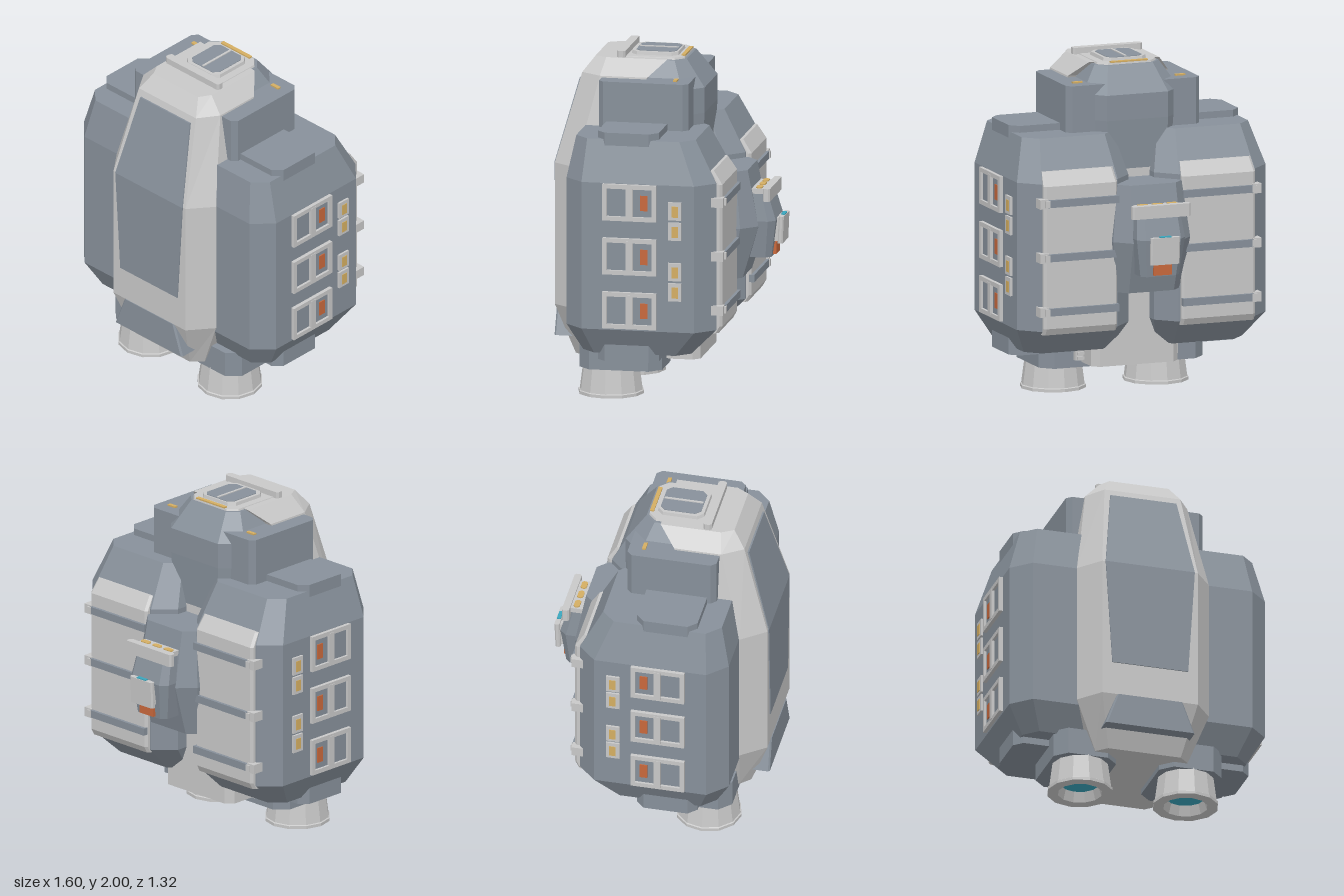
import * as THREE from 'three';

const mat = (name, color) => {
  const m = new THREE.MeshStandardMaterial({ color });
  m.name = name;
  m.flatShading = true;
  return m;
};

// Chamfered rectangle in plan, as [x, z] points
const oct = (xa, xb, z0, z1, c) => {
  const x0 = Math.min(xa, xb), x1 = Math.max(xa, xb);
  return [[x1, z0 + c], [x1, z1 - c], [x1 - c, z1], [x0 + c, z1],
    [x0, z1 - c], [x0, z0 + c], [x0 + c, z0], [x1 - c, z0]];
};

// Closed faceted solid through rings of [x, z] points stacked upward
function loft(sections) {
  const v = [];
  const n = sections[0].pts.length;
  const p = (i, j) => {
    const [x, z] = sections[i].pts[j % n];
    return [x, sections[i].y, z];
  };
  for (let i = 0; i < sections.length - 1; i++) {
    for (let j = 0; j < n; j++) {
      v.push(...p(i, j), ...p(i + 1, j), ...p(i, j + 1));
      v.push(...p(i, j + 1), ...p(i + 1, j), ...p(i + 1, j + 1));
    }
  }
  const t = sections.length - 1;
  for (let j = 1; j < n - 1; j++) {
    v.push(...p(0, 0), ...p(0, j), ...p(0, j + 1));
    v.push(...p(t, 0), ...p(t, j + 1), ...p(t, j));
  }
  const g = new THREE.BufferGeometry();
  g.setAttribute('position', new THREE.Float32BufferAttribute(v, 3));
  g.computeVertexNormals();
  return g;
}

export function createModel() {
  const root = new THREE.Group();
  root.name = 'thrusterPack';
  const slate = mat('slate', 0x87909a);
  const light = mat('lightGrey', 0xc8c8c8);
  const orange = mat('orange', 0xc8683c);
  const yellow = mat('amber', 0xd4ae62);
  const teal = mat('teal', 0x3aa6bd);
  light.side = THREE.DoubleSide;

  const add = (name, geo, m) => {
    const mesh = new THREE.Mesh(geo, m);
    mesh.name = name;
    root.add(mesh);
    return mesh;
  };
  // Rows: [y, x0, x1, z0, z1, chamfer]
  const solid = (name, m, rows) =>
    add(name, loft(rows.map(([y, ...r]) => ({ y, pts: oct(...r) }))), m);
  const box = (name, m, x0, x1, y0, y1, z0, z1) => {
    const g = new THREE.BoxGeometry(Math.abs(x1 - x0), y1 - y0, z1 - z0);
    g.translate((x0 + x1) / 2, (y0 + y1) / 2, (z0 + z1) / 2);
    return add(name, g, m);
  };

  // Core and head
  solid('core', light, [[0.2, -0.27, 0.27, -0.2, 0.48, 0.04], [1.5, -0.27, 0.27, -0.2, 0.48, 0.04]]);
  solid('head', slate, [
    [1.36, -0.28, 0.28, -0.2, 0.4, 0.1], [1.65, -0.3, 0.3, -0.215, 0.4, 0.11],
    [1.8, -0.3, 0.3, -0.215, 0.4, 0.11], [1.955, -0.2, 0.2, -0.1, 0.3, 0.06]]);
  solid('shoulderBlock', slate, [
    [1.5, -0.415, 0.415, -0.16, 0.37, 0.03], [1.86, -0.415, 0.415, -0.16, 0.37, 0.03]]);

  // Front spine: [y, front half width, side half width, front z, side z, back z]
  add('frontSpine', loft([
    [0.2, 0.22, 0.28, 0.54, 0.48, 0.3], [0.5, 0.29, 0.4, 0.65, 0.51, 0.35],
    [1.34, 0.29, 0.4, 0.65, 0.51, 0.35], [1.87, 0.23, 0.31, 0.5, 0.38, 0.1],
    [1.962, 0.18, 0.22, 0.43, 0.36, 0],
  ].map(([y, f, s, zf, zs, zb]) => ({
    y, pts: [[s, zb], [s, zs], [f, zf], [-f, zf], [-s, zs], [-s, zb]],
  }))), light);

  // Front window and chin
  solid('frontWindow', slate, [
    [0.7, -0.23, 0.23, 0.645, 0.656, 0], [1.34, -0.27, 0.27, 0.645, 0.656, 0],
    [1.83, -0.2, 0.2, 0.51, 0.521, 0]]);
  solid('chin', slate, [[0.31, -0.27, 0.27, 0.5, 0.658, 0.01], [0.5, -0.2, 0.2, 0.5, 0.655, 0.01]]);

  // Top hatch
  solid('topCap', light, [[1.94, -0.19, 0.19, -0.09, 0.3, 0.05], [1.966, -0.18, 0.18, -0.085, 0.3, 0.05]]);
  solid('hatchFrame', light, [[1.96, -0.135, 0.135, -0.045, 0.235, 0.035], [1.985, -0.13, 0.13, -0.04, 0.23, 0.035]]);
  solid('hatchWindow', slate, [[1.984, -0.11, 0.11, -0.03, 0.21, 0.03], [1.988, -0.11, 0.11, -0.03, 0.21, 0.03]]);
  box('hatchDivider', light, -0.007, 0.007, 1.985, 1.993, -0.025, 0.205);
  box('hatchLamp', yellow, -0.115, 0.115, 1.966, 1.974, -0.087, -0.063);
  solid('topBar', light, [[1.95, -0.215, 0.215, 0.25, 0.3, 0.012], [2, -0.215, 0.215, 0.25, 0.3, 0.012]]);

  for (const s of [-1, 1]) {
    // Side pod with its end caps
    solid('pod', slate, [
      [0.31, s * 0.14, s * 0.68, -0.22, 0.42, 0.08], [0.47, s * 0.08, s * 0.775, -0.38, 0.505, 0.11],
      [1.34, s * 0.08, s * 0.775, -0.38, 0.505, 0.11], [1.585, s * 0.14, s * 0.705, -0.25, 0.455, 0.08]]);
    solid('podCaps', slate, [
      [0.27, s * 0.2, s * 0.715, -0.04, 0.32, 0.05], [1.625, s * 0.2, s * 0.715, -0.04, 0.32, 0.05]]);
    box('shoulderLamp', yellow, s * 0.29, s * 0.35, 1.86, 1.869, -0.082, -0.06);

    // Rear panel with bars and hinges
    solid('rearPanel', light, [
      [0.45, s * 0.2, s * 0.66, -0.39, -0.3, 0.015], [0.49, s * 0.2, s * 0.66, -0.412, -0.3, 0.015],
      [1.33, s * 0.2, s * 0.66, -0.412, -0.3, 0.015], [1.41, s * 0.21, s * 0.65, -0.36, -0.3, 0.015]]);
    for (const y of [0.59, 0.91, 1.23]) {
      box('rearBar', slate, s * 0.2, s * 0.64, y - 0.022, y + 0.022, -0.43, -0.4);
      box('rearHinge', light, s * 0.635, s * 0.69, y - 0.028, y + 0.028, -0.425, -0.35);
      box('hingeKnuckle', light, s * 0.63, s * 0.66, y - 0.02, y + 0.02, -0.435, -0.4);

      // Side window frame, built from rails
      const a = s * 0.77, b = s * 0.797;
      for (const e of [-1, 1]) {
        box('frameRail', light, a, b, y - 0.013 + e * 0.095, y + 0.013 + e * 0.095, -0.05, 0.268);
        const z = 0.109 + e * 0.146;
        box('framePost', light, a, b, y - 0.108, y + 0.108, z - 0.013, z + 0.013);
      }
      box('frameDivider', light, a, s * 0.8, y - 0.095, y + 0.095, 0.088, 0.128);
      box('sideWindow', slate, a, s * 0.782, y - 0.09, y + 0.09, -0.03, 0.25);
      box('sideMarker', orange, s * 0.78, s * 0.788, y - 0.045, y + 0.045, 0.003, 0.047);
    }
    for (const y of [0.71, 0.83, 1.07, 1.19]) {
      box('lampFrame', light, s * 0.77, s * 0.788, y - 0.053, y + 0.053, -0.197, -0.118);
      box('sideLamp', yellow, s * 0.787, s * 0.792, y - 0.035, y + 0.03, -0.178, -0.14);
    }

    // Nozzle mount, vent and nozzle
    solid('nozzleMount', slate, [
      [0.17, s * 0.13, s * 0.51, -0.015, 0.475, 0.07], [0.33, s * 0.13, s * 0.51, -0.015, 0.475, 0.07]]);
    box('vent', light, s * 0.15, s * 0.32, 0.215, 0.3, -0.045, 0);
    for (const y of [0.23, 0.258, 0.286]) {
      box('ventSlat', light, s * 0.16, s * 0.31, y - 0.008, y + 0.008, -0.057, -0.04);
    }
    const nozzle = new THREE.LatheGeometry([
      [0.1, 0.1], [0.13, 0], [0.193, 0], [0.193, 0.018], [0.186, 0.022], [0.165, 0.18],
    ].map(([x, y]) => new THREE.Vector2(x, y)), 12);
    add('nozzle', nozzle, light).position.set(s * 0.32, 0, 0.31);
    const glow = new THREE.CircleGeometry(0.115, 12).rotateX(Math.PI / 2);
    add('nozzleGlow', glow, teal).position.set(s * 0.32, 0.06, 0.31);
  }

  // Rear pack
  solid('rearPackBase', slate, [
    [0.67, -0.2, 0.2, -0.43, -0.15, 0.06], [0.98, -0.24, 0.24, -0.525, -0.15, 0.09],
    [1.31, -0.2, 0.2, -0.46, -0.15, 0.06]]);
  solid('rearPackBody', slate, [
    [0.79, -0.12, 0.12, -0.59, -0.4, 0.03], [1.01, -0.15, 0.15, -0.62, -0.4, 0.04],
    [1.19, -0.13, 0.13, -0.565, -0.4, 0.03]]);
  box('rearLampShelf', light, -0.135, 0.135, 1.17, 1.2, -0.57, -0.48);
  solid('rearRail', light, [[1.135, -0.18, 0.18, -0.598, -0.555, 0.01], [1.21, -0.18, 0.18, -0.598, -0.555, 0.01]]);
  for (const x of [-0.092, 0, 0.092]) {
    solid('rearLamp', yellow, [
      [1.199, x - 0.032, x + 0.032, -0.54, -0.505, 0.01], [1.207, x - 0.032, x + 0.032, -0.54, -0.505, 0.01]]);
  }
  box('rearBoxMount', light, -0.07, 0.07, 0.88, 1.02, -0.64, -0.58);
  solid('rearBox', light, [[0.87, -0.09, 0.09, -0.655, -0.625, 0.008], [1.03, -0.09, 0.09, -0.662, -0.632, 0.008]]);
  box('rearIndicator', teal, -0.035, 0.035, 1.03, 1.036, -0.658, -0.635);
  box('rearMarker', orange, -0.055, 0.055, 0.8, 0.87, -0.612, -0.58);
  return root;
}
